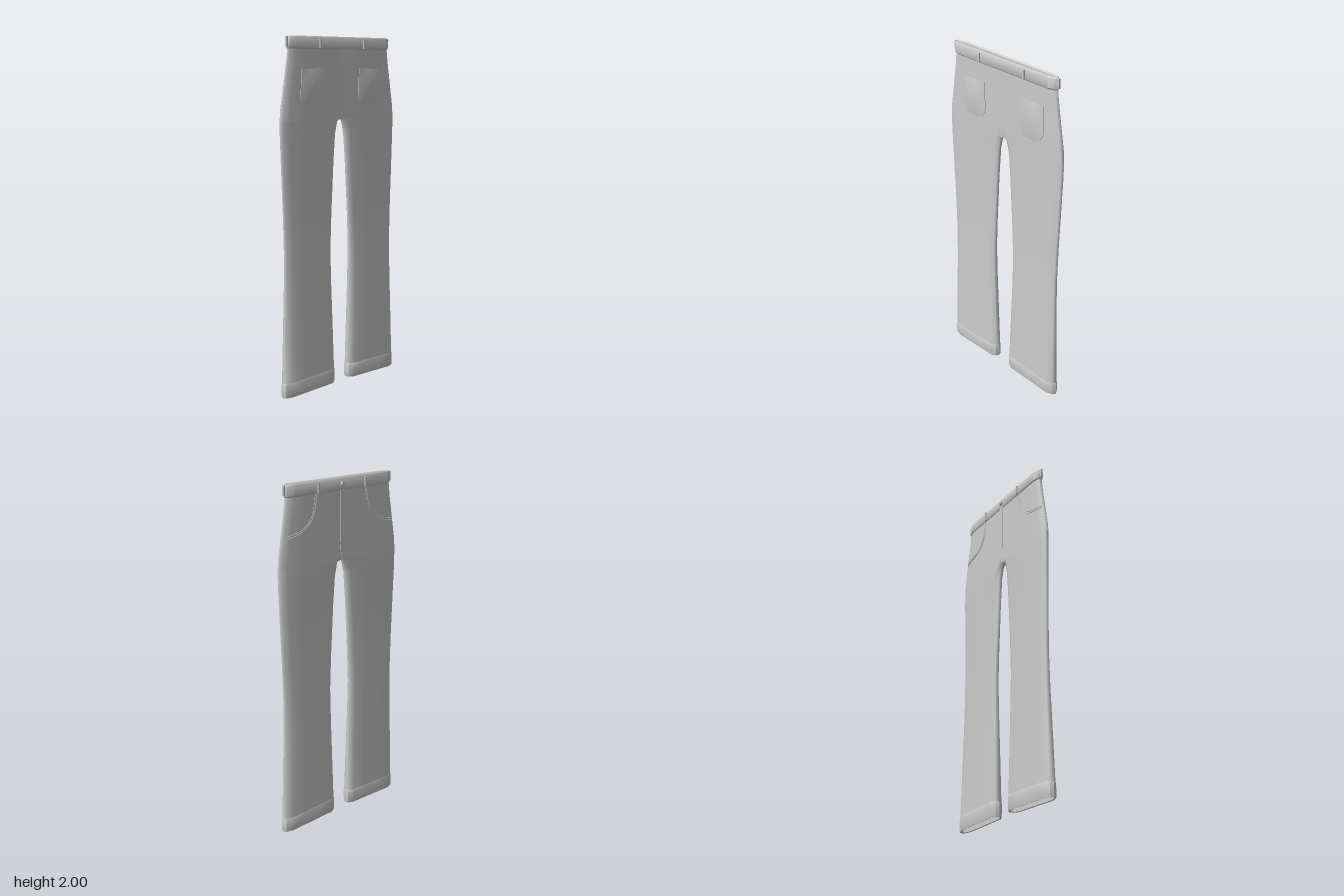
import * as THREE from 'three';
import { mergeVertices, mergeGeometries, toCreasedNormals } from 'three/addons/utils/BufferGeometryUtils.js';

const mat = new THREE.MeshStandardMaterial({ color: 0xcccccc, side: THREE.DoubleSide, roughness: 0.9 });

// Flat cross-section with tapered edges, counter-clockwise from above.
function ring(y, xi, xo, f, b, taper = 0.035, lift = 0) {
  const upper = xi === 0; // both legs meet at the centre line
  const a = upper ? 0 : 0.008, c = upper ? 0.04 : taper;
  const half = (z, dip) => [
    [xi + a, z * (upper ? dip : 0.55)],
    [xi + c, z],
    [xi + (xo - xi) * 0.35, z],
    [xi + (xo - xi) * 0.65, z],
    [xo - 0.05, z],
    [xo - 0.01, z * 0.55],
  ];
  const pts = [...half(f, 0.7), [xo, 0], ...half(-b, 0.95).reverse(), [xi, 0]];
  return pts.map(([x, z]) => [x, y + lift * (xo - x) / (xo - xi), z]);
}

// Skin a stack of rings, from top to bottom; sign -1 mirrors it.
function loft(rings, sign = 1, openAbove = Infinity) {
  const n = rings[0].length, pos = [], idx = [];
  rings.forEach(r => r.forEach(([x, y, z]) => pos.push(x * sign, y, z)));
  for (let i = 0; i < rings.length - 1; i++) {
    for (let j = 0; j < n; j++) {
      // no inner wall where the two halves join
      if (rings[i + 1][0][1] >= openAbove && j >= n - 2) continue;
      const k = (j + 1) % n;
      const a = i * n + j, b = i * n + k, c = a + n, d = b + n;
      if (sign > 0) idx.push(a, c, b, b, c, d);
      else idx.push(a, b, c, b, d, c);
    }
  }
  const g = new THREE.BufferGeometry();
  g.setAttribute('position', new THREE.Float32BufferAttribute(pos, 3));
  g.setIndex(idx);
  return g;
}

export function createModel() {
  const group = new THREE.Group();
  const add = (name, geo, x = 0, y = 0, z = 0) => {
    const m = new THREE.Mesh(geo, mat);
    m.name = name;
    m.position.set(x, y, z);
    group.add(m);
    return m;
  };

  // Seat and legs: y, inner x, outer x, front depth, back depth
  const rows = [
    [1.94, 0, 0.386, 0.02, 0.02],
    [1.85, 0, 0.398, 0.02, 0.021],
    [1.72, 0, 0.42, 0.02, 0.022],
    [1.61, 0, 0.438, 0.02, 0.024],
    [1.55, 0, 0.443, 0.02, 0.025],
    [1.535, 0.018, 0.443, 0.02, 0.025],
    [1.46, 0.036, 0.443, 0.019, 0.025],
    [1.3, 0.048, 0.438, 0.018, 0.023],
    [1.0, 0.065, 0.427, 0.018, 0.022],
    [0.8, 0.074, 0.422, 0.02, 0.024],
    [0.6, 0.07, 0.425, 0.024, 0.026],
    [0.35, 0.062, 0.433, 0.03, 0.029],
    [0.08, 0.054, 0.441, 0.036, 0.033],
  ].map(r => ring(...r));
  const halves = [1, -1].map(s => loft(rows, s, 1.55));
  const body = mergeVertices(mergeGeometries(halves), 1e-4);
  body.computeVertexNormals();
  add('seatAndLegs', body);

  // Turned hems with an inner lip
  const hemRows = [
    [0.085, 0.054, 0.441, 0.036, 0.033],
    [0.075, 0.051, 0.444, 0.039, 0.036],
    [0.008, 0.051, 0.446, 0.035, 0.033],
    [0, 0.053, 0.444, 0.033, 0.031],
    [0.002, 0.06, 0.437, 0.027, 0.025],
    [0.08, 0.06, 0.434, 0.028, 0.026],
  ].map(r => ring(...r, 0.035, 0.01));
  for (const s of [1, -1]) {
    add(s > 0 ? 'leftHem' : 'rightHem', toCreasedNormals(loft(hemRows, s), 0.6));
  }

  // Waistband: inner face, rounded top, outer face
  const band = [
    [1.93, 0.376, 0.014],
    [1.993, 0.378, 0.014],
    [2.0, 0.384, 0.02],
    [1.993, 0.389, 0.025],
    [1.938, 0.391, 0.026],
    [1.93, 0.386, 0.02],
  ].map(([y, x, z]) => ring(y, -x, x, z, z, 0.05));
  add('waistband', toCreasedNormals(loft(band), 0.7));

  // Belt loops, front, back and sides
  const loopGeo = new THREE.BoxGeometry(0.011, 0.054, 0.012);
  for (const s of [1, -1]) {
    add('beltLoop', loopGeo, s * 0.17, 1.962, 0.028);
    add('beltLoop', loopGeo, s * 0.175, 1.962, -0.028);
    add('sideBeltLoop', loopGeo, s * 0.391, 1.968, 0);
  }

  // Patch pockets: a rounded, slightly puffed slab
  for (const s of [1, -1]) {
    const g = new THREE.BoxGeometry(0.17, 0.215, 0.01, 14, 14, 1);
    const p = g.attributes.position;
    for (let i = 0; i < p.count; i++) {
      const u = p.getX(i) / 0.085, v = p.getY(i) / 0.1075;
      const down = (1 - v) / 2;
      p.setX(i, p.getX(i) * (1 + 0.05 * down));
      p.setY(i, p.getY(i) + 0.06 * Math.abs(u) ** 4 * down ** 2 + 0.004 * s * -u * (1 - down));
      if (p.getZ(i) > 0) p.setZ(i, p.getZ(i) + 0.008 * (1 - u * u) * (1 - v * v));
    }
    g.computeVertexNormals();
    add(s > 0 ? 'leftPatchPocket' : 'rightPatchPocket', g, s * 0.222, 1.718, 0.0185);
  }

  // Curved pocket openings: a double seam on each side
  for (const s of [1, -1]) {
    for (const d of [0, 0.012]) {
      const curve = new THREE.CatmullRomCurve3([
        [0.19 - d, 1.932, -0.0205],
        [0.215 - d, 1.82, -0.0215],
        [0.27 - d * 0.6, 1.76 - d * 0.7, -0.022],
        [0.372, 1.73 - d, -0.022],
        [0.409, 1.728 - d, -0.012],
      ].map(([x, y, z]) => new THREE.Vector3(x * s, y, z)));
      add('pocketSeam', new THREE.TubeGeometry(curve, 28, 0.0022, 6));
    }
  }

  // Fly flap and waist button
  const fly = new THREE.Shape();
  fly.moveTo(-0.012, 1.995);
  fly.lineTo(0.012, 1.995);
  fly.lineTo(0.012, 1.72);
  fly.quadraticCurveTo(0.01, 1.64, -0.004, 1.6);
  fly.lineTo(-0.012, 1.6);
  const flyGeo = new THREE.ExtrudeGeometry(fly, { depth: 0.006, bevelEnabled: false });
  add('fly', flyGeo, 0, -0.06, -0.026);
  const button = add('waistButton', new THREE.CylinderGeometry(0.011, 0.013, 0.012, 16), 0, 1.965, -0.03);
  button.rotation.x = -Math.PI / 2;

  return group;
}
